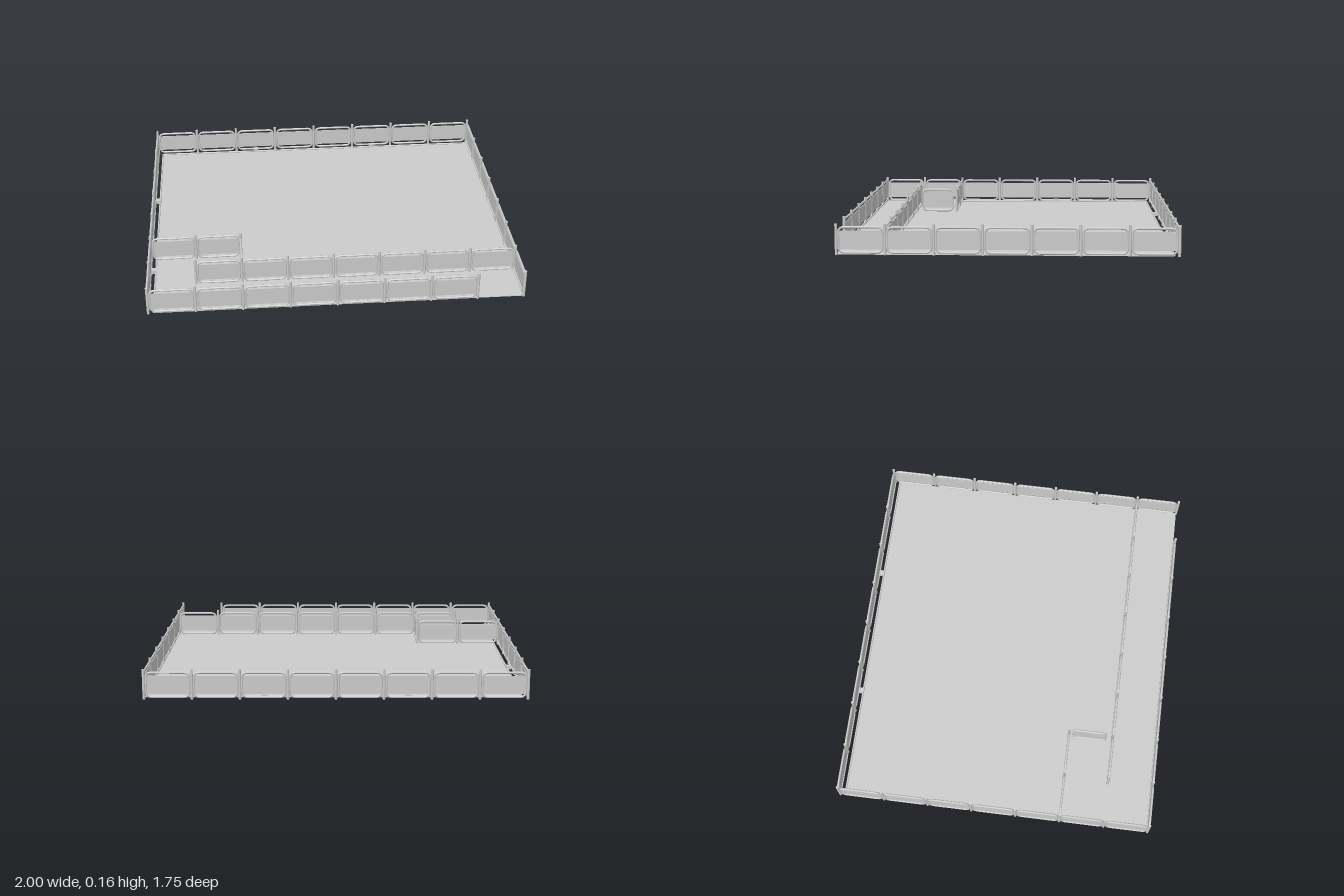
import * as THREE from 'three';

const PITCH = 0.248;                 // distance between posts
const X = 4 * PITCH, Z = 3.5 * PITCH; // half extents of the yard

const metal = new THREE.MeshStandardMaterial({ color: 0xcccccc });

// closed rounded rectangle of tube, centred on x
function frameGeometry(width, y0, y1, r, tube) {
  const path = new THREE.CurvePath();
  const w = width / 2;
  const v = (x, y) => new THREE.Vector3(x, y, 0);
  const corners = [[w, y0, 1, 0, 0, 1], [w, y1, 0, 1, -1, 0], [-w, y1, -1, 0, 0, -1], [-w, y0, 0, -1, 1, 0]];
  let last = v(-w + r, y0);
  for (const [x, y, ix, iy, ox, oy] of corners) {
    const a = v(x - ix * r, y - iy * r), b = v(x + ox * r, y + oy * r);
    path.add(new THREE.LineCurve3(last, a));
    path.add(new THREE.QuadraticBezierCurve3(a, v(x, y), b));
    last = b;
  }
  return new THREE.TubeGeometry(path, 72, tube, 8, true);
}

// one framed sheet, centred on x, standing on y = 0
function makePanel(width, name) {
  const panel = new THREE.Group();
  panel.name = name;
  const frame = new THREE.Mesh(frameGeometry(width, 0.012, 0.142, 0.03, 0.006), metal);
  frame.name = 'panelFrame';
  const sheet = new THREE.Mesh(new THREE.BoxGeometry(width, 0.096, 0.004), metal);
  sheet.name = 'panelSheet';
  sheet.position.y = 0.077;
  panel.add(frame, sheet);
  return panel;
}

export function createModel() {
  const model = new THREE.Group();
  model.name = 'fencedYard';

  const add = (parent, geometry, name, x, y, z) => {
    const mesh = new THREE.Mesh(geometry, metal);
    mesh.name = name;
    mesh.position.set(x, y, z);
    parent.add(mesh);
    return mesh;
  };

  // ground slab, stopping short of the back and right fences
  const fx = -0.965, fz = -0.842;
  add(model, new THREE.BoxGeometry(X - fx, 0.004, Z - fz), 'ground', (X + fx) / 2, 0.003, (Z + fz) / 2);

  // fence runs: posts are shared where runs meet
  const panel = makePanel(0.224, 'fencePanel');
  const postGeometry = new THREE.CylinderGeometry(0.0075, 0.0075, 0.16, 10);
  const posts = new Set();
  function addPost(x, z) {
    const key = x.toFixed(2) + ',' + z.toFixed(2);
    if (posts.has(key)) return;
    posts.add(key);
    add(model, postGeometry, 'fencePost', x, 0.08, z);
  }
  function fenceRun(name, x, z, dx, dz, count) {
    const run = new THREE.Group();
    run.name = name;
    for (let i = 0; i <= count; i++) {
      addPost(x + dx * PITCH * i, z + dz * PITCH * i);
      if (i === count) break;
      const p = panel.clone();
      p.position.set(x + dx * PITCH * (i + 0.5), 0, z + dz * PITCH * (i + 0.5));
      p.rotation.y = dz ? Math.PI / 2 : 0;
      run.add(p);
    }
    model.add(run);
  }
  fenceRun('backFence', -X, -Z, 1, 0, 8);
  fenceRun('rightFence', -X, -Z, 0, 1, 7);
  fenceRun('leftFence', X, -Z, 0, 1, 7);
  fenceRun('frontFence', -X, Z, 1, 0, 7);
  fenceRun('innerFence', -X + PITCH, Z - PITCH, 1, 0, 7);
  fenceRun('penFence', -X, Z - 2 * PITCH, 1, 0, 2);

  // narrow gate hung on the end post of the pen
  const gateX = -X + 2 * PITCH, gateZ = Z - 2 * PITCH;
  const gate = makePanel(0.186, 'penGate');
  gate.position.set(gateX, 0, gateZ + 0.115);
  gate.rotation.y = Math.PI / 2;
  model.add(gate);
  for (const y of [0.04, 0.115]) {
    add(model, new THREE.BoxGeometry(0.016, 0.012, 0.026), 'gateHinge', gateX, y, gateZ + 0.016);
  }

  // low water pipes along the back and right edges, with drinking bowls
  const pipe = (length) => new THREE.CylinderGeometry(0.005, 0.005, length, 8);
  add(model, pipe(X - fx), 'backPipe', (X + fx) / 2, 0.008, fz).rotation.z = Math.PI / 2;
  add(model, pipe(Z - fz), 'rightPipe', fx, 0.008, (Z + fz) / 2).rotation.x = Math.PI / 2;
  const bowl = new THREE.BoxGeometry(0.03, 0.02, 0.026);
  for (const x of [-0.375, 0.37]) add(model, bowl, 'pipeBracket', x, 0.014, -0.85);
  for (const z of [-0.25, 0.495]) {
    add(model, bowl, 'pipeBracket', -0.972, 0.014, z).rotation.y = Math.PI / 2;
  }

  return model;
}
